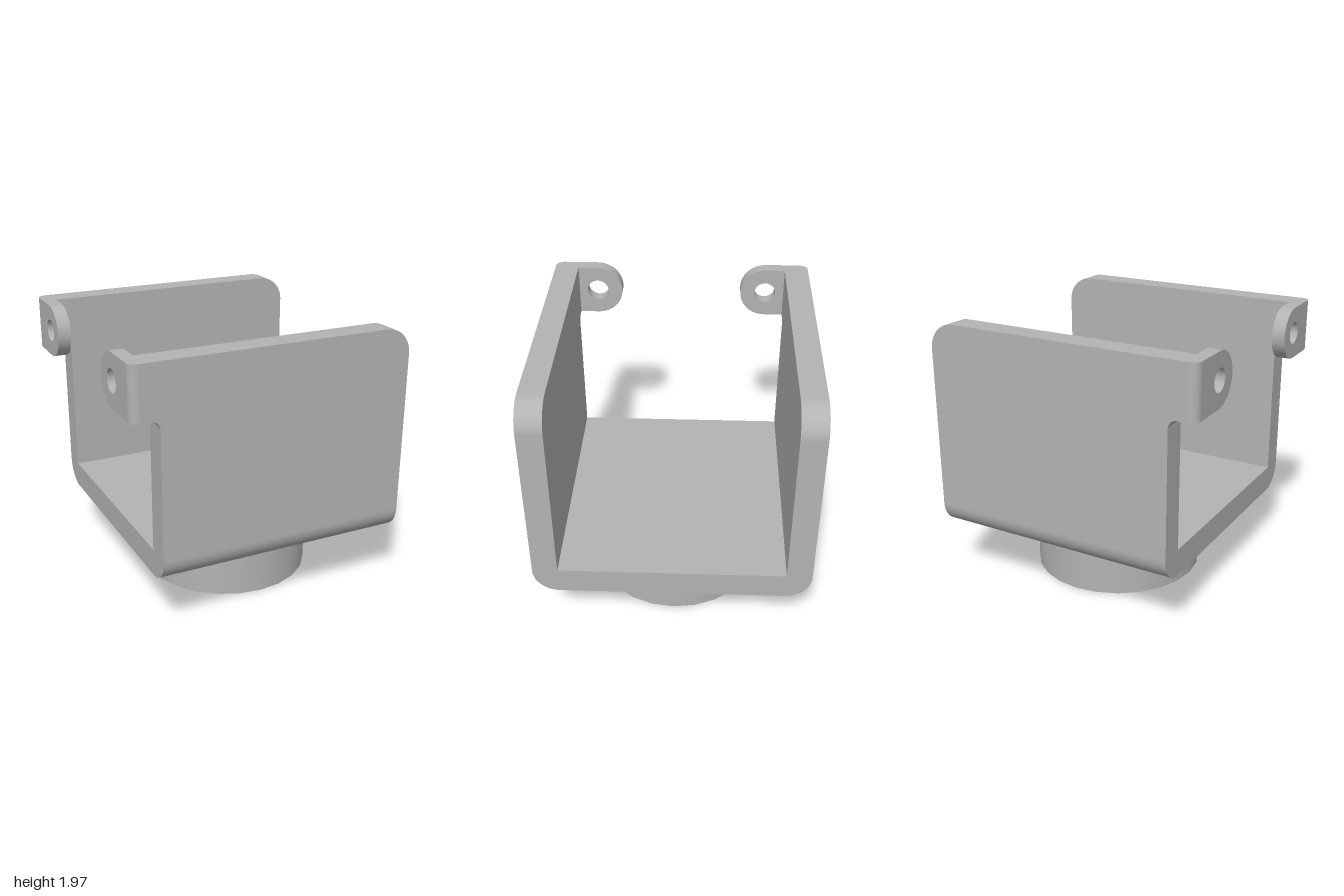
import * as THREE from 'three';
import { toCreasedNormals } from 'three/addons/utils/BufferGeometryUtils.js';

const TOP = 1.965, FLOOR = 0.63, BOTTOM = 0.44;
const OUT = 0.96, IN = 0.785;          // outer and inner z of the side walls
const BACK = -0.81, TAB = -0.905, END = -1; // x of the channel edge and the tab faces
const TAB_LOW = 1.59;

const extrude = (shape, depth) =>
  new THREE.ExtrudeGeometry(shape, { depth, bevelEnabled: false, curveSegments: 12 });

// Shape drawn in (z, y), extruded along x and ending at xMax
const alongX = (shape, depth, xMax) =>
  extrude(shape, depth).rotateY(-Math.PI / 2).translate(xMax, 0, 0);

// Shape drawn in (x, z), extruded downwards from yMax
const alongY = (shape, depth, yMax) =>
  extrude(shape, depth).rotateX(Math.PI / 2).translate(0, yMax, 0);

// Mirrored copy of a non-indexed geometry in z, with its face order restored
function mirrorZ(geometry) {
  const g = geometry.clone().scale(1, 1, -1);
  const p = g.attributes.position;
  const a = new THREE.Vector3(), b = new THREE.Vector3();
  for (let i = 0; i < p.count; i += 3) {
    a.fromBufferAttribute(p, i + 1);
    b.fromBufferAttribute(p, i + 2);
    p.setXYZ(i + 1, b.x, b.y, b.z);
    p.setXYZ(i + 2, a.x, a.y, a.z);
  }
  return g;
}

// Side wall with a rounded top corner and a fillet under the tab
function wallGeometry() {
  const s = new THREE.Shape();
  s.moveTo(BACK, FLOOR);
  s.lineTo(1, FLOOR);
  s.lineTo(1, TOP - 0.19);
  s.absarc(0.81, TOP - 0.19, 0.19, 0, Math.PI / 2, false);
  s.lineTo(TAB, TOP);
  s.lineTo(TAB, TAB_LOW);
  s.lineTo(BACK - 0.06, TAB_LOW);
  s.absarc(BACK - 0.06, TAB_LOW - 0.06, 0.06, Math.PI / 2, 0, true);
  s.closePath();
  return extrude(s, OUT - IN).translate(0, 0, IN);
}

// Rounded bend joining the wall to its ear
function bendGeometry() {
  const r = 0.06, s = new THREE.Shape();
  s.moveTo(END, IN);
  s.lineTo(TAB, IN);
  s.lineTo(TAB, OUT);
  s.lineTo(END + r, OUT);
  s.absarc(END + r, OUT - r, r, Math.PI / 2, Math.PI, false);
  s.closePath();
  return alongY(s, TOP - TAB_LOW, TOP);
}

// Round-ended ear with a pin hole
function earGeometry() {
  const r = (TOP - TAB_LOW) / 2, y = TAB_LOW + r, z = 0.643;
  const s = new THREE.Shape();
  s.moveTo(IN, TAB_LOW);
  s.lineTo(IN, TOP);
  s.lineTo(z, TOP);
  s.absarc(z, y, r, Math.PI / 2, Math.PI * 1.5, false);
  s.closePath();
  s.holes.push(new THREE.Path().absarc(z, y, 0.08, 0, Math.PI * 2, true));
  return alongX(s, TAB - END, TAB);
}

// Floor plate with rounded lower edges
function floorGeometry() {
  const r = 0.178, s = new THREE.Shape();
  s.moveTo(OUT, FLOOR);
  s.lineTo(-OUT, FLOOR);
  s.lineTo(-OUT, BOTTOM + r);
  s.absarc(-OUT + r, BOTTOM + r, r, Math.PI, Math.PI * 1.5, false);
  s.absarc(OUT - r, BOTTOM + r, r, Math.PI * 1.5, Math.PI * 2, false);
  s.closePath();
  return alongX(s, 1 - BACK, 1);
}

export function createModel() {
  const model = new THREE.Group();
  model.name = 'bracket';
  const grey = new THREE.MeshStandardMaterial({ color: 0xb3b3b3 });
  grey.name = 'plain grey';

  const add = (name, geometry) => {
    const mesh = new THREE.Mesh(geometry, grey);
    mesh.name = name;
    model.add(mesh);
    return mesh;
  };
  const smooth = (geometry) => toCreasedNormals(geometry, 0.6);

  add('floorPlate', smooth(floorGeometry()));

  // Matching front and back sides
  const sideParts = { Wall: wallGeometry(), Bend: bendGeometry(), Ear: earGeometry() };
  for (const [part, geometry] of Object.entries(sideParts)) {
    add('front' + part, smooth(geometry));
    add('back' + part, smooth(mirrorZ(geometry)));
  }

  // Round boss under the floor
  add('boss', new THREE.CylinderGeometry(0.62, 0.62, BOTTOM, 24))
    .position.set((1 + BACK) / 2, BOTTOM / 2, 0);

  return model;
}
